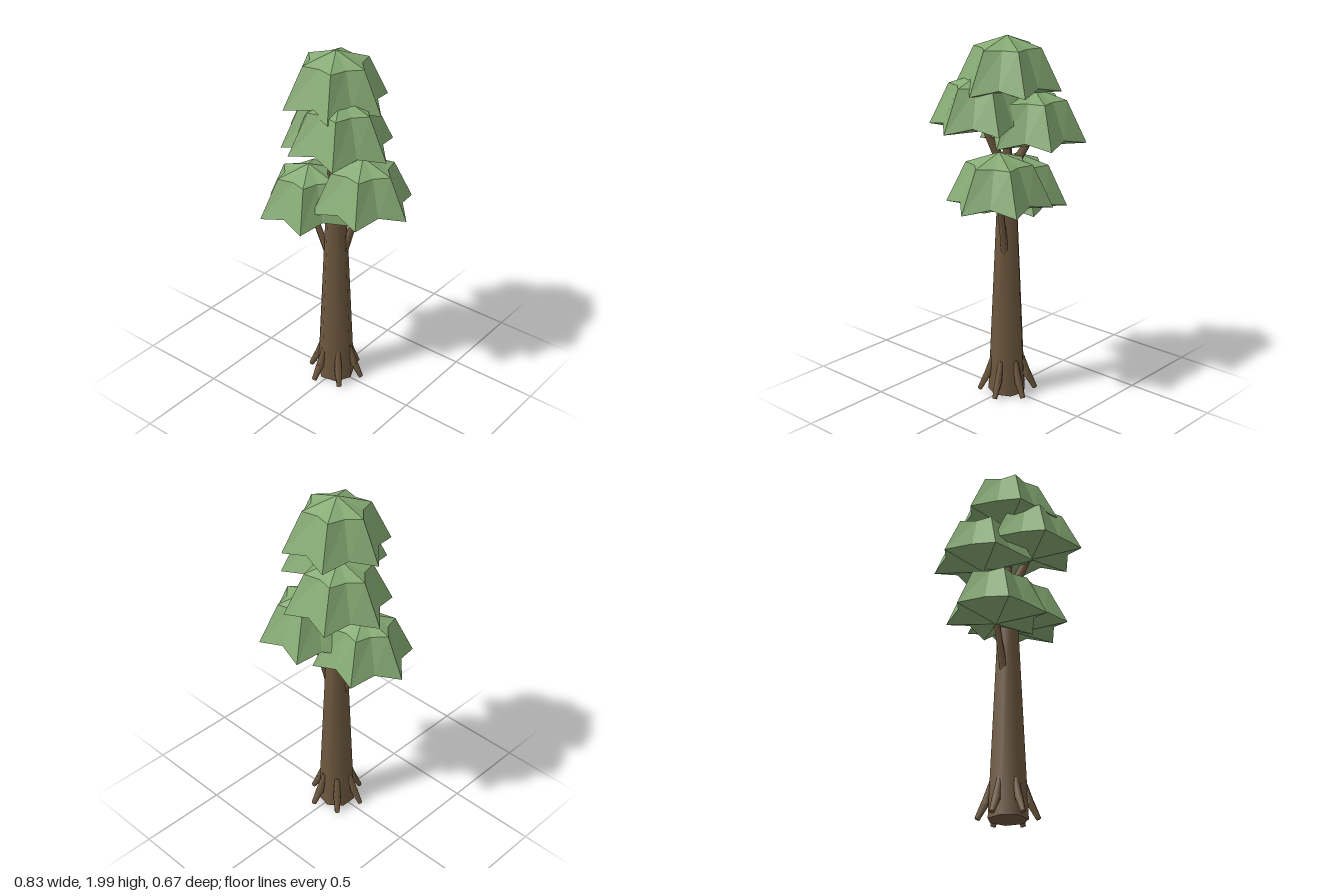
import * as THREE from 'three';

const leaf = new THREE.MeshStandardMaterial({ color: 0x86ab74, flatShading: true });
leaf.name = 'leaf green';
const bark = new THREE.MeshStandardMaterial({ color: 0x6e583f });
bark.name = 'bark brown';

const v = (x, y, z) => new THREE.Vector3(x, y, z);

// Tapered limb between two points
function limb(name, a, b, ra, rb, sides = 6) {
  const dir = b.clone().sub(a);
  const mesh = new THREE.Mesh(new THREE.CylinderGeometry(rb, ra, dir.length(), sides), bark);
  mesh.position.copy(a).add(b).multiplyScalar(0.5);
  mesh.quaternion.setFromUnitVectors(v(0, 1, 0), dir.normalize());
  mesh.name = name;
  return mesh;
}

// Six-pointed umbrella: crown point, shoulder ring, drooping rim, shallow underside
function canopyGeometry() {
  const n = 12, pos = [0, 0, 0], idx = [];
  const rings = [
    { tip: [0.178, -0.06], valley: [0.132, -0.06] },
    { tip: [0.285, -0.28], valley: [0.212, -0.25] },
  ];
  for (const ring of rings) {
    for (let i = 0; i < n; i++) {
      const [r, y] = i % 2 ? ring.valley : ring.tip;
      const a = (i / n) * Math.PI * 2;
      pos.push(Math.cos(a) * r, y, Math.sin(a) * r);
    }
  }
  pos.push(0, -0.31, 0);
  for (let i = 0; i < n; i++) {
    const j = (i + 1) % n;
    const a = 1 + i, b = 1 + j, c = a + n, d = b + n;
    idx.push(0, b, a, a, b, d, a, d, c, c, d, 2 * n + 1);
  }
  const g = new THREE.BufferGeometry();
  g.setAttribute('position', new THREE.Float32BufferAttribute(pos, 3));
  g.setIndex(idx);
  const flat = g.toNonIndexed();
  flat.computeVertexNormals();
  return flat;
}

export function createModel() {
  const tree = new THREE.Group();
  tree.name = 'tree';

  // Trunk, with a vertex of its base towards +x
  const trunkGeo = new THREE.CylinderGeometry(0.045, 0.106, 1.33, 7, 1);
  trunkGeo.rotateY(Math.PI / 2);
  const trunk = new THREE.Mesh(trunkGeo, bark);
  trunk.position.y = 0.677;
  trunk.name = 'trunk';
  tree.add(trunk);

  // Roots flaring out around the base
  for (let i = 0; i < 6; i++) {
    const a = THREE.MathUtils.degToRad(-15 + i * 60);
    const at = (r, y) => v(Math.cos(a) * r, y, Math.sin(a) * r);
    const root = new THREE.Group();
    root.name = 'root';
    root.add(limb('rootUpper', at(0.115, 0.09), at(0.08, 0.21), 0.022, 0.015));
    root.add(limb('rootLower', at(0.155, 0.015), at(0.113, 0.1), 0.014, 0.022));
    tree.add(root);
  }

  // Branches
  tree.add(
    limb('lowerRightBranch', v(-0.03, 0.77, 0.01), v(-0.15, 1.12, 0.055), 0.022, 0.015),
    limb('lowerLeftBranch', v(0.03, 0.8, -0.015), v(0.13, 1.18, -0.06), 0.022, 0.015),
    limb('upperLeftBranch', v(0, 1.25, 0), v(0.1, 1.56, 0.085), 0.03, 0.02),
    limb('upperRightBranch', v(0, 1.25, 0), v(-0.1, 1.48, -0.09), 0.03, 0.02),
    limb('topBranch', v(0, 1.28, 0), v(0, 1.75, 0), 0.028, 0.016),
  );

  // Leaf canopies: name, crown point, width scale
  const geo = canopyGeometry();
  const canopies = [
    ['topCanopy', 0, 2.0, 0, 1],
    ['upperLeftCanopy', 0.1, 1.81, 0.085, 1],
    ['upperRightCanopy', -0.1, 1.725, -0.09, 1],
    ['lowerLeftCanopy', 0.13, 1.42, -0.06, 1],
    ['lowerRightCanopy', -0.14, 1.343, 0.055, 0.97],
  ];
  for (const [name, x, y, z, s] of canopies) {
    const mesh = new THREE.Mesh(geo, leaf);
    mesh.position.set(x, y, z);
    mesh.scale.set(s, 1, s);
    mesh.name = name;
    tree.add(mesh);
  }
  return tree;
}
